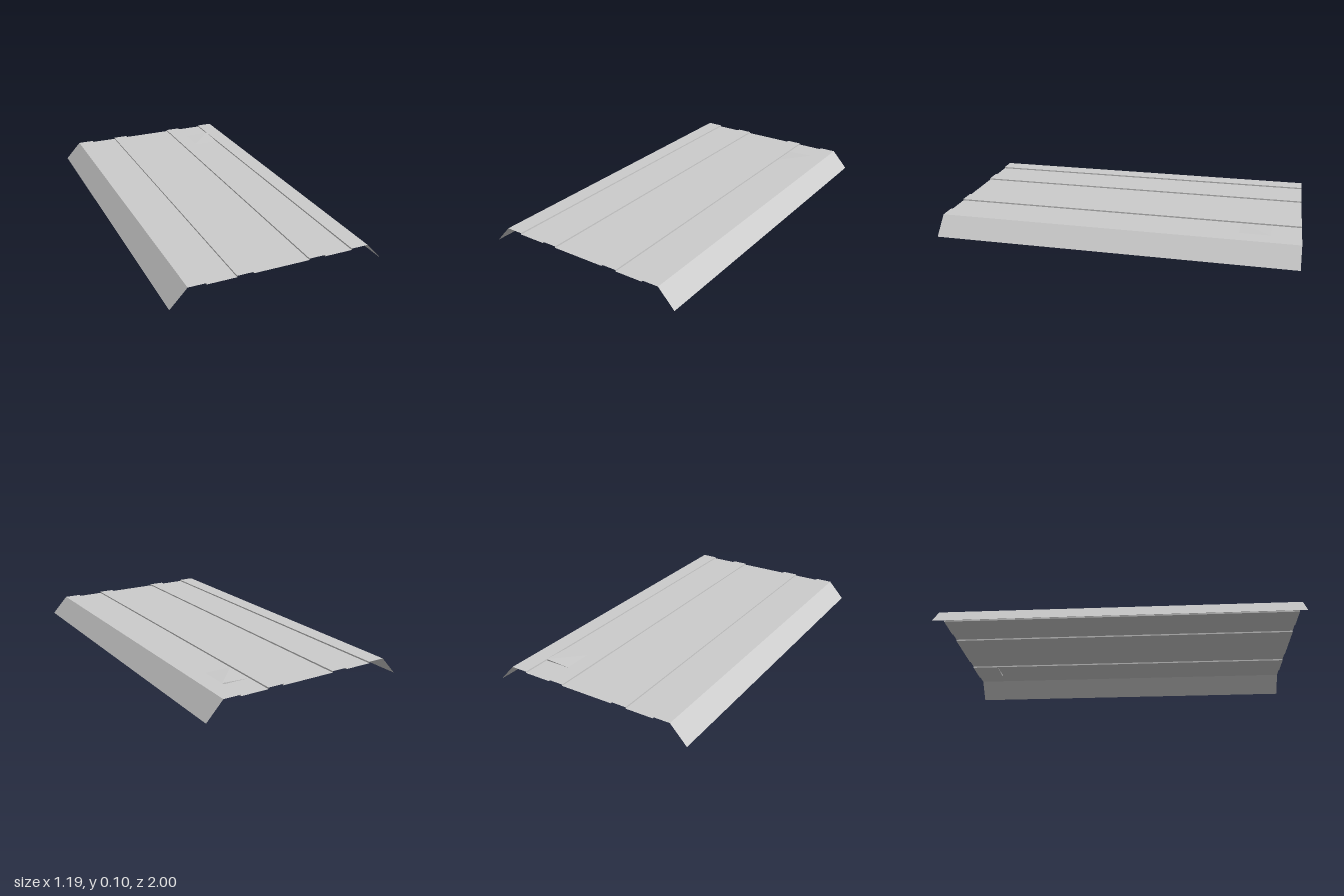
import * as THREE from 'three';

const HIGH = 0.1, LOW = 0.092;
const material = new THREE.MeshStandardMaterial({ color: 0xcccccc, flatShading: true, side: THREE.DoubleSide });

// Mesh from a list of triangles, each three [x, y, z] corners, counter-clockwise from above
function triangleMesh(name, triangles) {
  const geometry = new THREE.BufferGeometry();
  geometry.setAttribute('position', new THREE.Float32BufferAttribute(triangles.flat(2), 3));
  geometry.computeVertexNormals();
  const mesh = new THREE.Mesh(geometry, material);
  mesh.name = name;
  return mesh;
}

// Sheet strip between two profile points, running from z0 (back) to z1 (front)
function strip([xa, ya], [xb, yb], z0 = -1, z1 = 1) {
  const a = [xa, ya, z0], b = [xa, ya, z1], c = [xb, yb, z1], d = [xb, yb, z0];
  return [[a, b, c], [a, c, d]];
}

export function createModel() {
  const group = new THREE.Group();
  group.name = 'ribbedPanel';

  // Half profile from the centre outwards; the other half is mirrored
  const half = [[0.155, LOW], [0.155, HIGH], [0.245, HIGH], [0.245, LOW],
    [0.404, LOW], [0.404, HIGH], [0.5, HIGH], [0.593, 0]];
  const profile = [...half.map(([x, y]) => [-x, y]).reverse(), ...half];

  // Dent in the left valley, close to the back
  const back = -0.84, front = -0.67;
  const valley = 11, step = 12;

  const sheet = [], flanges = [[], []];
  for (let i = 0; i < profile.length - 1; i++) {
    const p = profile[i], q = profile[i + 1];
    if (i === 0) flanges[0].push(...strip(p, q));
    else if (i === profile.length - 2) flanges[1].push(...strip(p, q));
    else if (i === valley || i === step) sheet.push(...strip(p, q, -1, back), ...strip(p, q, front, 1));
    else sheet.push(...strip(p, q));
  }
  group.add(triangleMesh('ribbedSheet', sheet));
  group.add(triangleMesh('rightFlange', flanges[0]), triangleMesh('leftFlange', flanges[1]));

  // The dent rises to one raised corner, creased along its diagonal
  const xi = profile[valley][0], xo = profile[step][0];
  const peak = [xo, HIGH, back], foot = [xo, LOW, back];
  const innerBack = [xi, LOW, back], innerFront = [xi, LOW, front], outerFront = [xo, LOW, front];
  group.add(triangleMesh('dent', [
    [innerBack, innerFront, peak],
    [innerFront, outerFront, peak],
    [innerBack, peak, foot],
    [outerFront, [xo, HIGH, front], peak],
  ]));
  return group;
}
